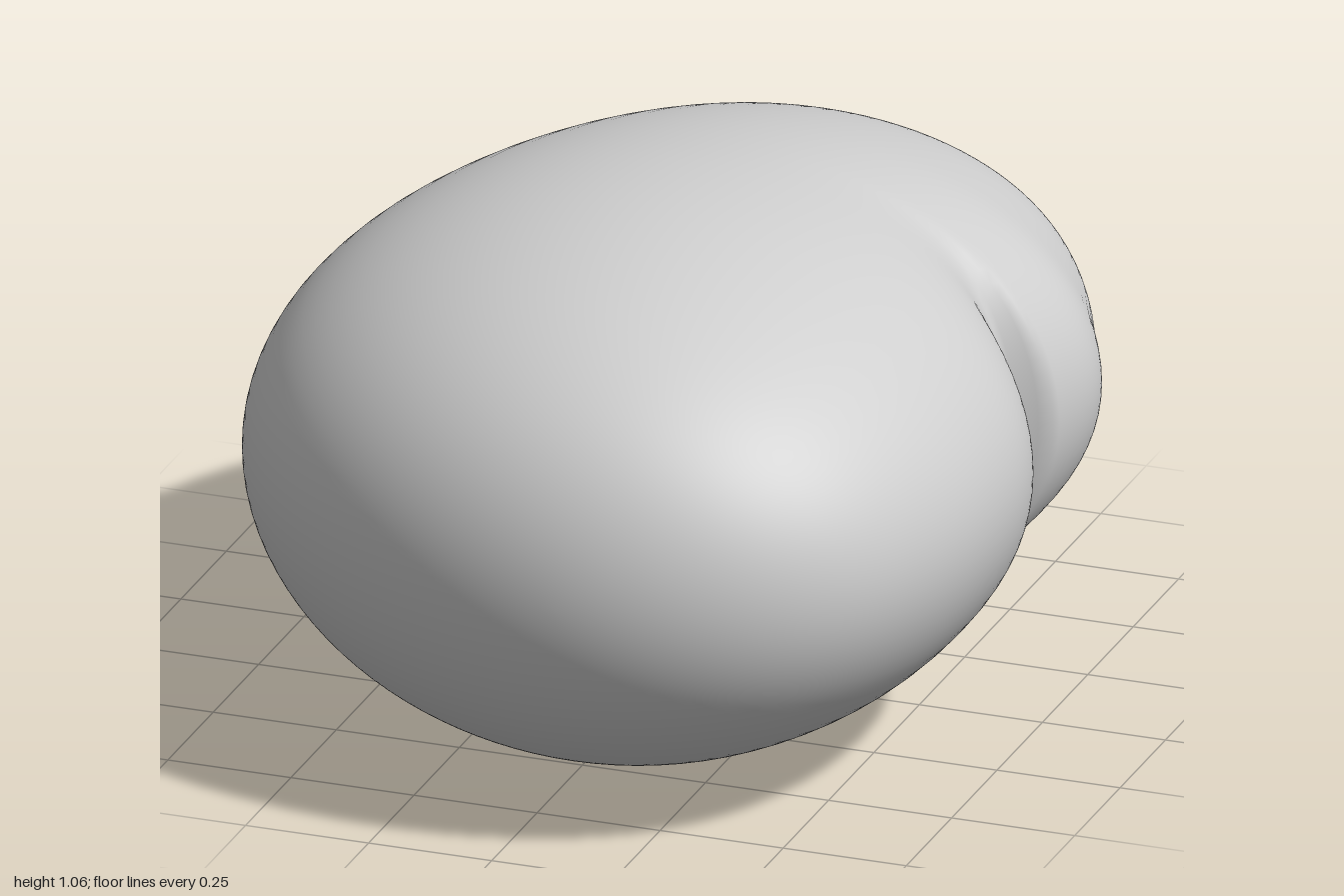
import * as THREE from 'three';
import { mergeVertices } from 'three/addons/utils/BufferGeometryUtils.js';

const grey = new THREE.MeshStandardMaterial({ color: 0xcecece });
grey.name = 'plain grey';

// Radius factors at z = -1, -0.8 ... 1, each multiplied by the unit circle's half-width there
const HEIGHT = [0.545, 0.514, 0.503, 0.501, 0.507, 0.522, 0.541, 0.562, 0.59, 0.632, 0.69];
const LEFT_SIDE = [0.93, 0.866, 0.846, 0.851, 0.864, 0.882, 0.905, 0.925, 0.941, 0.955, 0.965];
const RIGHT_SIDE = [0.76, 0.675, 0.645, 0.64, 0.635, 0.64, 0.665, 0.7, 0.742, 0.8, 0.86];
const POLE_X = 0.12, MID_Y = 0.53;

// Smooth (Catmull-Rom) reading of an evenly spaced profile
function sample(values, z) {
  const last = values.length - 1;
  const u = THREE.MathUtils.clamp((z + 1) / 2, 0, 1) * last;
  const i = Math.min(Math.floor(u), last - 1), t = u - i;
  const p1 = values[i], p2 = values[i + 1];
  const p0 = i > 0 ? values[i - 1] : 2 * p1 - p2;
  const p3 = i + 2 <= last ? values[i + 2] : 2 * p2 - p1;
  return p1 + 0.5 * t * (p2 - p0 + t * (2 * p0 - 5 * p1 + 4 * p2 - p3 + t * (3 * (p1 - p2) + p3 - p0)));
}

const bell = (z, centre, width) => Math.exp(-(((z - centre) / width) ** 2));

// Wide soft dip with a slight swelling behind it
const dip = (z) => -0.06 * bell(z, -0.12, 0.14) + 0.018 * bell(z, -0.4, 0.1);

// Short crease inside the dip, steep on its rear side
const crease = (z) => -0.07 * bell(z, -0.165, z < -0.165 ? 0.022 : 0.08);

function beanGeometry(slices = 200, sides = 96) {
  const positions = [], index = [];
  for (let j = 0; j <= slices; j++) {
    const phi = (j / slices) * Math.PI;
    const z = -Math.cos(phi);
    const s = j === 0 || j === slices ? 0 : Math.sin(phi);
    const xl = POLE_X - s * sample(LEFT_SIDE, z);
    const xr = POLE_X + s * sample(RIGHT_SIDE, z);
    const h = s * sample(HEIGHT, z);
    for (let i = 0; i < sides; i++) {
      const a = (i / sides) * Math.PI * 2, c = Math.cos(a);
      const facing = Math.max(c, 0);
      const dent = s * (dip(z) * facing ** 2 + crease(z) * facing ** 4);
      positions.push((xl + xr) / 2 + c * (xr - xl) / 2 + dent, MID_Y + h * Math.sin(a), z);
      if (j < slices) {
        const p = j * sides + i, q = j * sides + (i + 1) % sides;
        if (j > 0) index.push(p, q, p + sides);
        if (j < slices - 1) index.push(q, q + sides, p + sides);
      }
    }
  }
  const geometry = new THREE.BufferGeometry();
  geometry.setAttribute('position', new THREE.Float32BufferAttribute(positions, 3));
  geometry.setIndex(index);
  // Join each pole into one point so the ends shade smoothly
  const merged = mergeVertices(geometry, 1e-5);
  merged.computeVertexNormals();
  return merged;
}

export function createModel() {
  const model = new THREE.Group();
  model.name = 'bean';
  const body = new THREE.Mesh(beanGeometry(), grey);
  body.name = 'beanBody';
  model.add(body);
  return model;
}
